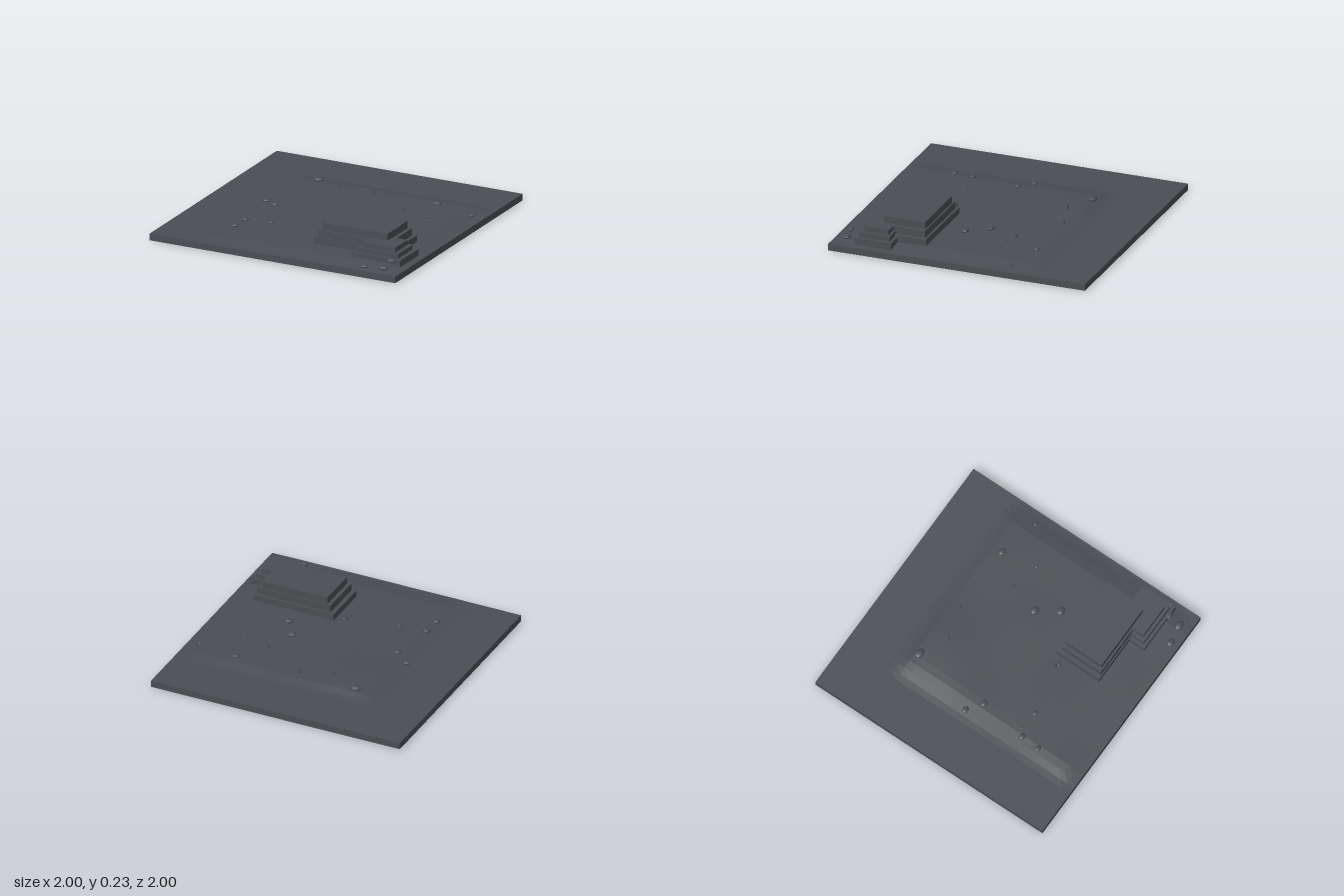
import * as THREE from 'three';

const slate = new THREE.MeshStandardMaterial({ color: 0x4a4d52 });
slate.name = 'slate grey';
slate.flatShading = true;

const GROUND = 0.05;
const smooth = THREE.MathUtils.smoothstep;

// Height of the low mound above the slab
function terrain(x, z) {
  const wobble = 0.02 * Math.sin(x * 9 + z * 3);
  const edge = smooth(x, -0.66, -0.46 + wobble) * smooth(z, -0.645 + wobble * 0.5, -0.5)
    * (1 - smooth(x, 0.8, 1)) * (1 - 0.9 * smooth(z, 0.82, 1));
  const bump = Math.exp(-((x + 0.32) ** 2 + (z + 0.35) ** 2) / 0.12);
  const rise = 0.022 + 0.012 * bump + 0.002 * Math.sin(x * 8) * Math.cos(z * 7);
  return GROUND - 0.001 + rise * edge;
}

export function createModel() {
  const model = new THREE.Group();
  model.name = 'terracedSite';

  function add(name, geometry, x, y, z, parent = model) {
    const mesh = new THREE.Mesh(geometry, slate);
    mesh.name = name;
    mesh.position.set(x, y, z);
    parent.add(mesh);
    return mesh;
  }

  // Square slab
  add('slab', new THREE.BoxGeometry(2, GROUND, 2), 0, GROUND / 2, 0);

  // Gently raised ground
  const mound = new THREE.PlaneGeometry(1.66, 1.65, 28, 28).rotateX(-Math.PI / 2);
  mound.translate(0.17, 0, 0.175);
  const p = mound.attributes.position;
  for (let i = 0; i < p.count; i++) p.setY(i, terrain(p.getX(i), p.getZ(i)));
  mound.computeVertexNormals();
  add('mound', mound, 0, 0, 0);

  // Two stepped platforms: x0, x1, z0, z1, top
  const platforms = {
    mainPlatform: [
      [0.17, 0.82, 0.31, 0.685, 0.12],
      [0.205, 0.79, 0.328, 0.675, 0.175],
      [0.235, 0.76, 0.34, 0.66, 0.23],
    ],
    cornerPlatform: [
      [0.55, 0.945, 0.53, 0.815, 0.105],
      [0.58, 0.912, 0.555, 0.79, 0.14],
      [0.612, 0.88, 0.575, 0.765, 0.178],
    ],
  };
  for (const [name, tiers] of Object.entries(platforms)) {
    const group = new THREE.Group();
    group.name = name;
    model.add(group);
    let bottom = 0.04;
    tiers.forEach(([x0, x1, z0, z1, top], i) => {
      add(`${name}Tier${i + 1}`, new THREE.BoxGeometry(x1 - x0, top - bottom, z1 - z0),
        (x0 + x1) / 2, (top + bottom) / 2, (z0 + z1) / 2, group);
      bottom = top;
    });
  }

  // Flattened boulders: x, z, radius
  const rocks = [
    [-0.4, -0.5, 0.042], [0.585, -0.46, 0.033], [0.905, -0.385, 0.021], [0.64, -0.19, 0.017],
    [0.35, -0.01, 0.037], [0.455, 0.15, 0.037], [-0.56, 0.015, 0.031], [-0.445, 0.1, 0.031],
    [0.115, 0.37, 0.019], [-0.295, 0.445, 0.021], [-0.44, 0.425, 0.015], [-0.495, 0.47, 0.029],
    [-0.505, 0.615, 0.029], [0.87, 0.81, 0.033], [0.855, 0.91, 0.039], [0.715, 0.935, 0.035],
  ];
  const rockGeometry = new THREE.SphereGeometry(1, 10, 6);
  for (const [x, z, r] of rocks) {
    // One boulder rests on the lowest step
    const y = z === 0.81 ? 0.094 : terrain(x, z) + r * 0.25;
    add('boulder', rockGeometry, x, y, z).scale.set(r, r * 0.4, r * 0.75);
  }

  // Thin spiky tufts: x, z, height, lean of each blade
  const tufts = [
    [-0.18, -0.39, 0.055, [-0.3, -0.15]],
    [0.065, -0.46, 0.04, [-0.3, 0.05]],
    [0.417, -0.24, 0.055, [-0.3, 0.3]],
    [0.09, 0.36, 0.08, [-0.08, 0.08]],
  ];
  for (const [x, z, height, leans] of tufts) {
    const tuft = new THREE.Group();
    tuft.name = 'tuft';
    tuft.position.set(x, terrain(x, z) - 0.005, z);
    model.add(tuft);
    leans.forEach((lean, i) => {
      const h = height * (1 - 0.2 * i);
      const blade = new THREE.ConeGeometry(0.007, h, 5).translate(0, h / 2, 0);
      add('blade', blade, 0.006 * (i - 0.5), 0, 0, tuft).rotation.set(lean, 0, -Math.abs(lean));
    });
  }
  return model;
}
